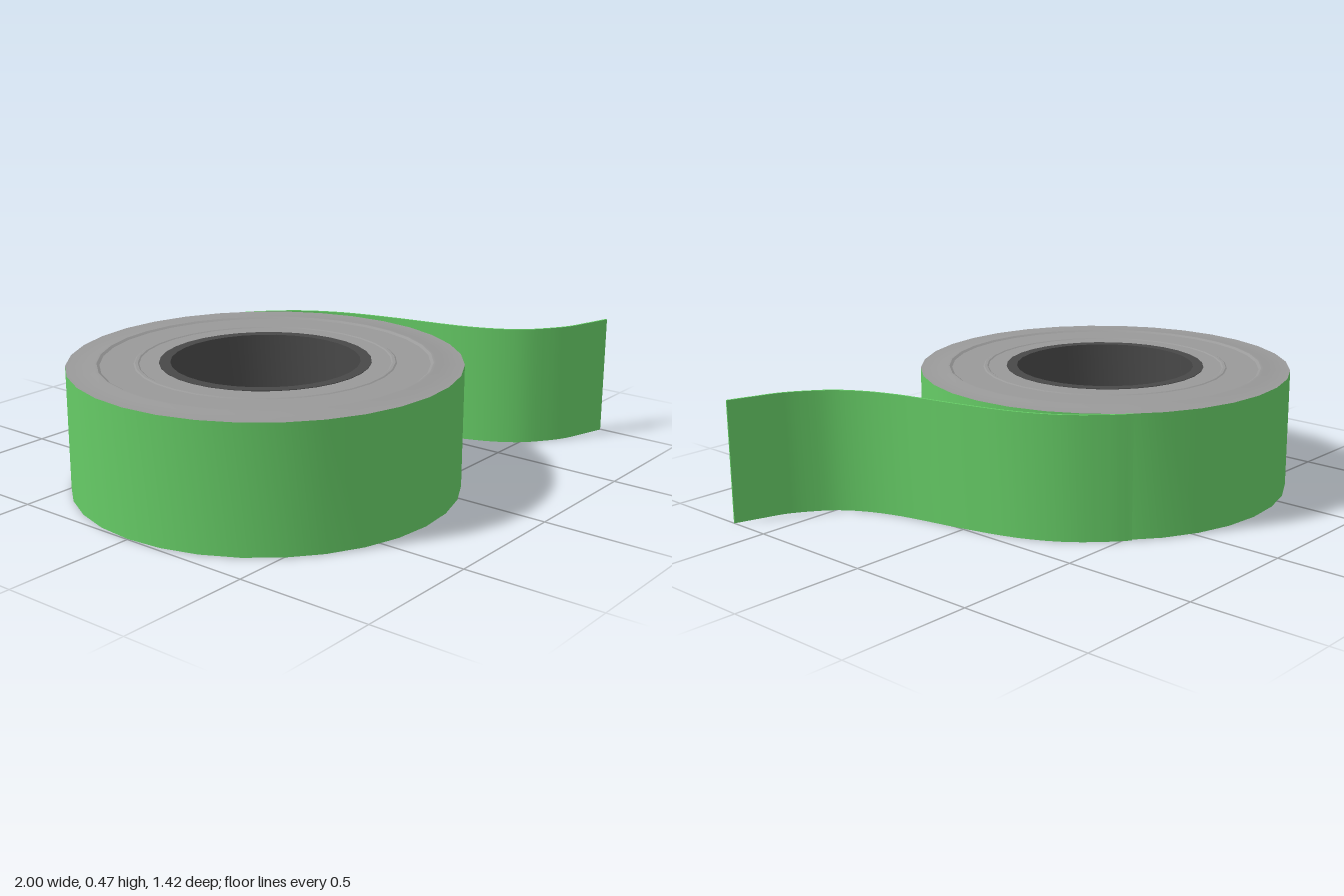
import * as THREE from 'three';
import { toCreasedNormals } from 'three/addons/utils/BufferGeometryUtils.js';

const HEIGHT = 0.46, CENTRE_X = -0.29, RADIUS = 0.71, SIDES = 32;

function part(name, geometry, color) {
  const material = new THREE.MeshStandardMaterial({ color, side: THREE.DoubleSide });
  const mesh = new THREE.Mesh(toCreasedNormals(geometry, 0.4), material);
  mesh.name = name;
  return mesh;
}

function lathe(name, profile, color) {
  const points = profile.map(([r, y]) => new THREE.Vector2(r, y));
  const mesh = part(name, new THREE.LatheGeometry(points, SIDES), color);
  mesh.position.x = CENTRE_X;
  return mesh;
}

// Free end of the tape: a thin ribbon that follows an S-curve off the roll
function looseEnd() {
  const path = new THREE.CatmullRomCurve3([
    [0.19, -0.52], [0.25, -0.47], [0.35, -0.36], [0.43, -0.21], [0.49, 0], [0.55, 0.28],
    [0.60, 0.41], [0.66, 0.50], [0.73, 0.56], [0.81, 0.61], [0.90, 0.64], [0.998, 0.67],
  ].map(([x, z]) => new THREE.Vector3(x, -z, 0)));
  const half = 0.004, steps = 40, sideA = [], sideB = [];
  for (let i = 0; i <= steps; i++) {
    const p = path.getPoint(i / steps), t = path.getTangent(i / steps);
    sideA.push(new THREE.Vector2(p.x - t.y * half, p.y + t.x * half));
    sideB.push(new THREE.Vector2(p.x + t.y * half, p.y - t.x * half));
  }
  const shape = new THREE.Shape([...sideA, ...sideB.reverse()]);
  const geometry = new THREE.ExtrudeGeometry(shape, { depth: HEIGHT, bevelEnabled: false });
  return geometry.rotateX(-Math.PI / 2);
}

export function createModel() {
  const group = new THREE.Group();
  group.name = 'tapeRoll';
  const green = 0x66cc66, grey = 0x999999, dark = 0x484848;

  // Outer wrap of tape
  group.add(lathe('outerWrap', [[RADIUS, 0.002], [RADIUS, HEIGHT]], green));

  // Wound sides, with a raised outer ring and a shallow inner ring
  const rings = [
    [RADIUS, 0], [0.63, 0], [0.61, 0.006], [0.60, 0.006], [0.59, 0],
    [0.47, 0], [0.465, 0.003], [0.455, 0.003], [0.45, 0], [0.38, 0],
  ];
  group.add(lathe('topFace', rings.map(([r, h]) => [r, HEIGHT + h]), grey));
  group.add(lathe('bottomFace', rings.map(([r, h]) => [r, 0.004 - h * 0.6]).reverse(), grey));

  // Cardboard core
  const top = HEIGHT + 0.002;
  group.add(lathe('core', [
    [0.38, 0.002], [0.38, top], [0.34, top], [0.34, 0.002], [0.38, 0.002],
  ], dark));

  group.add(part('looseEnd', looseEnd(), green));
  return group;
}
